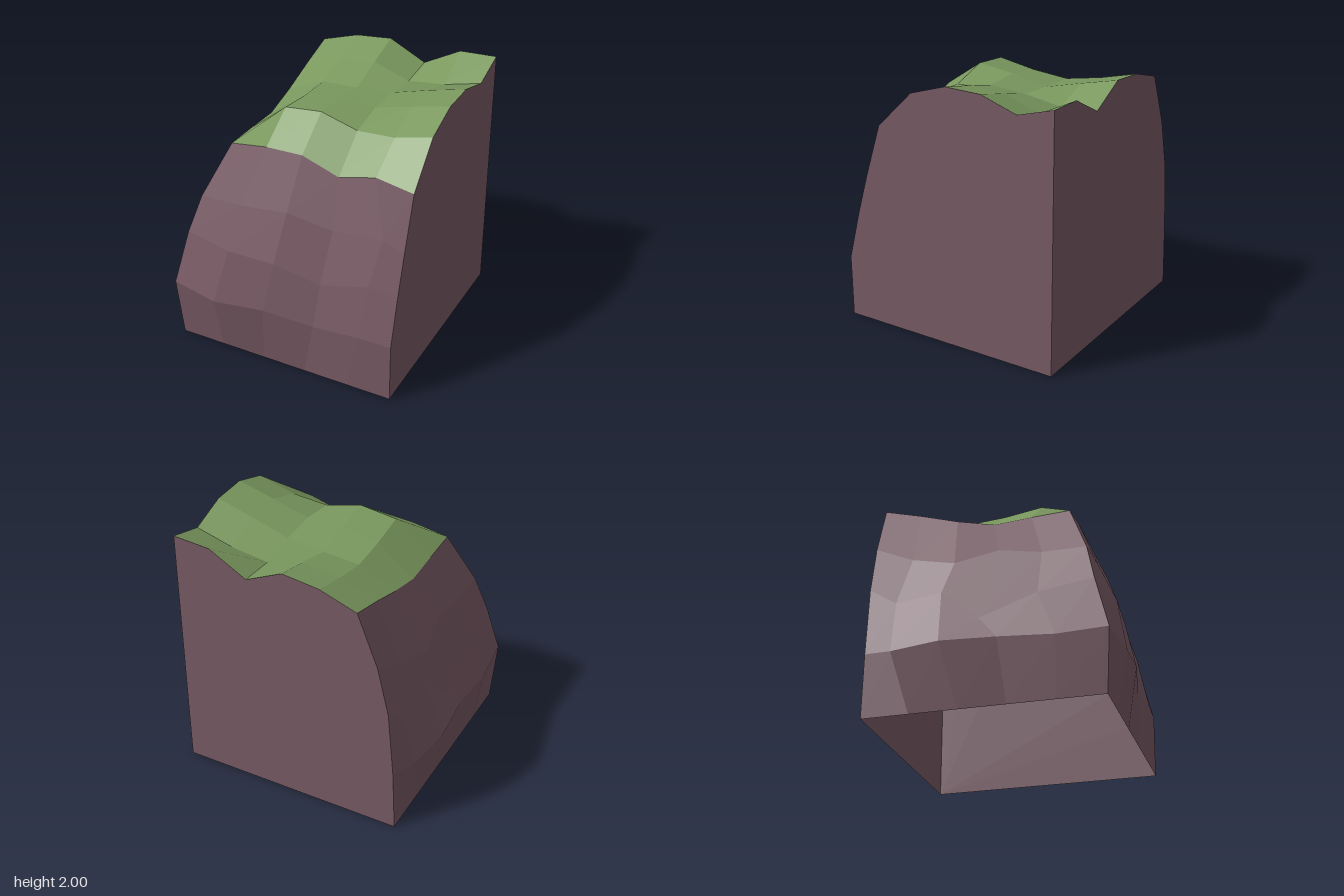
import * as THREE from 'three';

const RIGHT = 0.93, BACK = -0.92;
const XS = [-0.52, -0.23, 0.06, 0.35, 0.64, RIGHT];
const ZS = [0.53, 0.24, -0.05, -0.34, -0.63, BACK];

// Grass heights, one row per depth, front to back
const HEIGHTS = [
  [1.615, 1.66, 1.67, 1.57, 1.65, 1.60],
  [1.60, 1.845, 1.88, 1.80, 1.82, 1.90],
  [1.58, 1.80, 1.85, 1.845, 1.925, 2.0],
  [1.65, 1.78, 1.80, 1.83, 1.92, 2.0],
  [1.74, 1.84, 1.88, 1.79, 1.83, 1.91],
  [1.82, 1.92, 1.955, 1.815, 1.98, 2.0],
];

// Faceted sheet from rows of points: rows run upward, columns rightward, seen from outside
function facetSheet(rows) {
  const pos = [], nor = [], idx = [];
  for (let r = 0; r < rows.length - 1; r++) {
    for (let c = 0; c < rows[r].length - 1; c++) {
      const quad = [rows[r][c], rows[r][c + 1], rows[r + 1][c + 1], rows[r + 1][c]]
        .map((p) => new THREE.Vector3(...p));
      const n = quad[2].clone().sub(quad[0]).cross(quad[3].clone().sub(quad[1])).normalize();
      const base = pos.length / 3;
      quad.forEach((p) => { pos.push(p.x, p.y, p.z); nor.push(n.x, n.y, n.z); });
      idx.push(base, base + 1, base + 2, base, base + 2, base + 3);
    }
  }
  const g = new THREE.BufferGeometry();
  g.setAttribute('position', new THREE.Float32BufferAttribute(pos, 3));
  g.setAttribute('normal', new THREE.Float32BufferAttribute(nor, 3));
  g.setIndex(idx);
  return g;
}

// Flat cut wall from its outline
const cutWall = (points) =>
  new THREE.ShapeGeometry(new THREE.Shape(points.map(([u, v]) => new THREE.Vector2(u, v))));

export function createModel() {
  const group = new THREE.Group();
  const make = (name, color) => {
    const m = new THREE.MeshStandardMaterial({ color, side: THREE.DoubleSide });
    m.name = name;
    return m;
  };
  const rock = make('mauve rock', 0x7a5c66);
  const grass = make('grass green', 0x7a985e);
  const add = (name, geometry, material) => {
    const mesh = new THREE.Mesh(geometry, material);
    mesh.name = name;
    group.add(mesh);
  };

  // Grass cap
  const top = HEIGHTS.map((row, r) => row.map((y, c) => [XS[c], y, ZS[r]]));
  add('grassTop', facetSheet(top), grass);

  // Front cliff, bottom row to top row
  const front = [
    [0, 1, 2, 3, 4, 5].map((i) => [-0.83 + 0.352 * i, 0, 0.84]),
    [[-0.865, 0.48, 0.87], [-0.5, 0.45, 0.92], [-0.08, 0.5, 0.905],
      [0.3, 0.44, 0.84], [0.68, 0.485, 0.855], [RIGHT, 0.48, 0.845]],
    [[-0.79, 0.9, 0.76], [-0.4, 0.89, 0.84], [-0.03, 0.88, 0.82],
      [0.33, 0.79, 0.78], [0.71, 0.89, 0.77], [RIGHT, 0.86, 0.75]],
    [[-0.7, 1.2, 0.69], [-0.36, 1.22, 0.7], [0.02, 1.27, 0.7],
      [0.37, 1.2, 0.66], [0.76, 1.24, 0.66], [RIGHT, 1.18, 0.66]],
    top[0],
  ];
  add('frontCliff', facetSheet(front), rock);

  // Side cliff, back to front, sharing the corner with the front cliff
  const side = [
    [0, 1, 2, 3, 4].map((i) => [-0.83, 0, BACK + 0.352 * i]),
    [[-0.81, 0.5, BACK], [-0.88, 0.47, -0.7], [-0.93, 0.485, -0.33],
      [-0.89, 0.485, 0.08], [-0.9, 0.45, 0.5]],
    [[-0.765, 1.03, BACK], [-0.78, 0.89, -0.71], [-0.8, 0.92, -0.36],
      [-0.855, 0.66, -0.06], [-0.79, 0.84, 0.35]],
    [[-0.677, 1.41, BACK], [-0.7, 1.27, -0.62], [-0.755, 1.17, -0.28],
      [-0.7, 1.26, 0.04], [-0.7, 1.2, 0.36]],
    top.slice(1).reverse().map((row) => row[0]),
  ].map((row, r) => [...row, front[r][0]]);
  add('sideCliff', facetSheet(side), rock);

  // Flat cut walls; the underside stays open
  const rightOutline = [
    [-BACK, 0],
    ...top.map((row) => row[5]).reverse().map((p) => [-p[2], p[1]]),
    ...front.slice(0, 4).reverse().map((row) => [-row[5][2], row[5][1]]),
  ];
  add('rightCutWall', cutWall(rightOutline).rotateY(Math.PI / 2).translate(RIGHT, 0, 0), rock);

  const backOutline = [
    [-RIGHT, 0],
    ...[...top[5]].reverse().map((p) => [-p[0], p[1]]),
    ...side.slice(0, 4).reverse().map((row) => [-row[0][0], row[0][1]]),
  ];
  add('backCutWall', cutWall(backOutline).rotateY(Math.PI).translate(0, 0, BACK), rock);

  return group;
}
